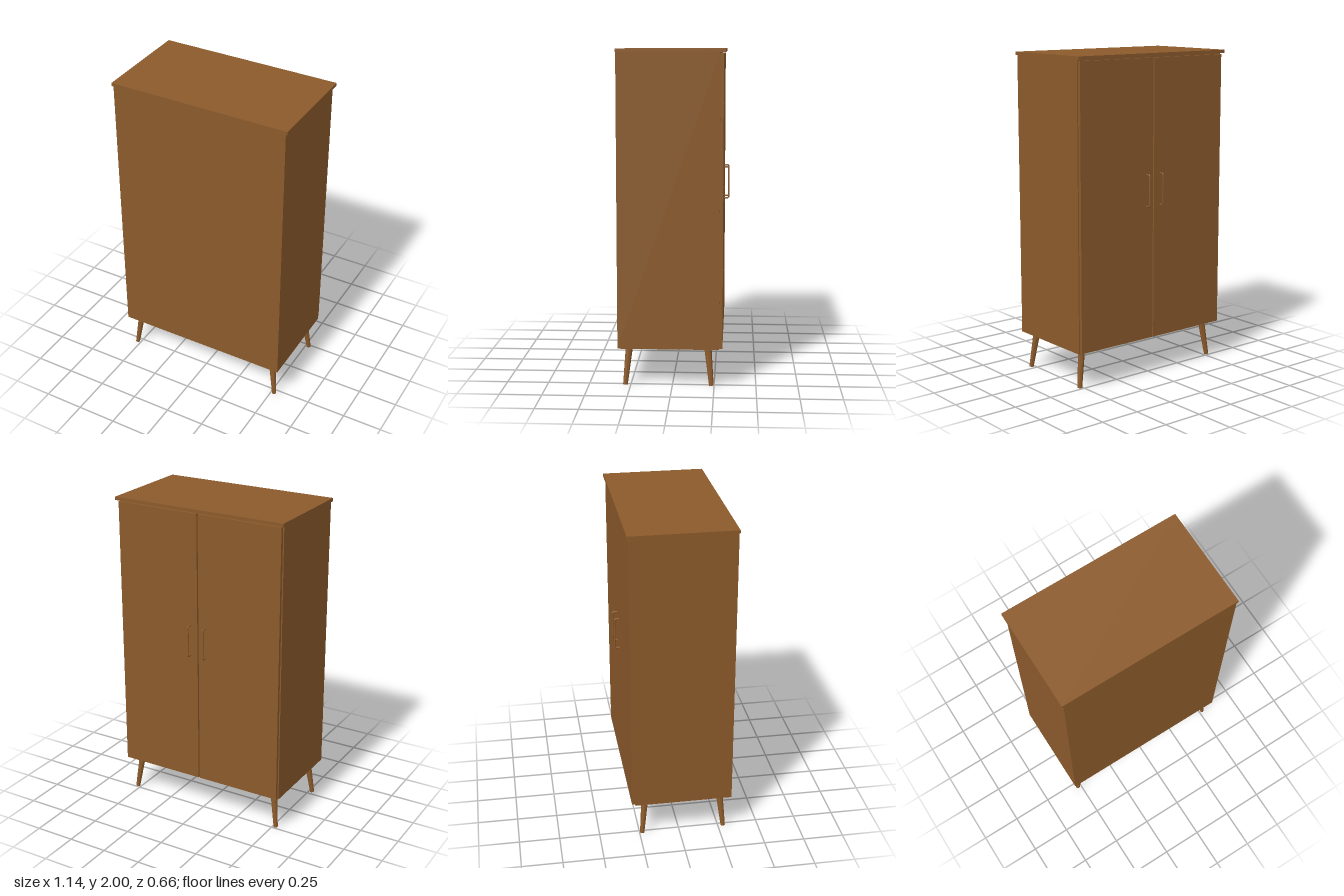
import * as THREE from 'three';

export function createModel() {
  const group = new THREE.Group();
  const wood = new THREE.MeshStandardMaterial({ color: 0x8b5a2b });
  wood.name = 'brown wood';

  const add = (name, geometry) => {
    const mesh = new THREE.Mesh(geometry, wood);
    mesh.name = name;
    group.add(mesh);
    return mesh;
  };
  // Box given by its low and high limits on each axis
  const addBox = (name, [x0, x1], [y0, y1], [z0, z1]) =>
    add(name, new THREE.BoxGeometry(x1 - x0, y1 - y0, z1 - z0))
      .position.set((x0 + x1) / 2, (y0 + y1) / 2, (z0 + z1) / 2);

  // Cabinet body and overhanging top board
  addBox('cabinetBody', [-0.56, 0.56], [0.232, 1.98], [-0.279, 0.325]);
  addBox('topBoard', [-0.571, 0.571], [1.98, 2], [-0.309, 0.328]);

  // U-shaped pull with rounded corners
  const v = (y, z) => new THREE.Vector3(0, y, z);
  const pull = new THREE.CurvePath();
  const [low, high, near, far, bend] = [1.075, 1.27, -0.296, -0.327, 0.01];
  pull.add(new THREE.LineCurve3(v(low, near), v(low, far + bend)));
  pull.add(new THREE.QuadraticBezierCurve3(v(low, far + bend), v(low, far), v(low + bend, far)));
  pull.add(new THREE.LineCurve3(v(low + bend, far), v(high - bend, far)));
  pull.add(new THREE.QuadraticBezierCurve3(v(high - bend, far), v(high, far), v(high, far + bend)));
  pull.add(new THREE.LineCurve3(v(high, far + bend), v(high, near)));
  const pullGeometry = new THREE.TubeGeometry(pull, 80, 0.005, 8, false);

  // Tapered leg, splayed outwards, with its lowest point on the floor
  const up = new THREE.Vector3(0, 1, 0);
  const addLeg = (name, sx, sz) => {
    const top = new THREE.Vector3(sx * 0.491, 0.237, 0.024 + sz * 0.235);
    const foot = new THREE.Vector3(sx * 0.522, 0.0025, 0.024 + sz * 0.258);
    const axis = top.clone().sub(foot);
    const geometry = new THREE.CylinderGeometry(0.022, 0.014, axis.length(), 8).toNonIndexed();
    geometry.computeVertexNormals();
    const leg = add(name, geometry);
    leg.quaternion.setFromUnitVectors(up, axis.normalize());
    leg.position.copy(top).add(foot).multiplyScalar(0.5);
  };

  for (const [side, s] of [['left', 1], ['right', -1]]) {
    const edges = [s * 0.004, s * 0.553].sort((a, b) => a - b);
    addBox(side + 'Door', edges, [0.238, 1.972], [-0.299, -0.279]);
    add(side + 'Handle', pullGeometry).position.x = s * 0.0535;
    addLeg(side + 'FrontLeg', s, 1);
    addLeg(side + 'BackLeg', s, -1);
  }
  return group;
}
